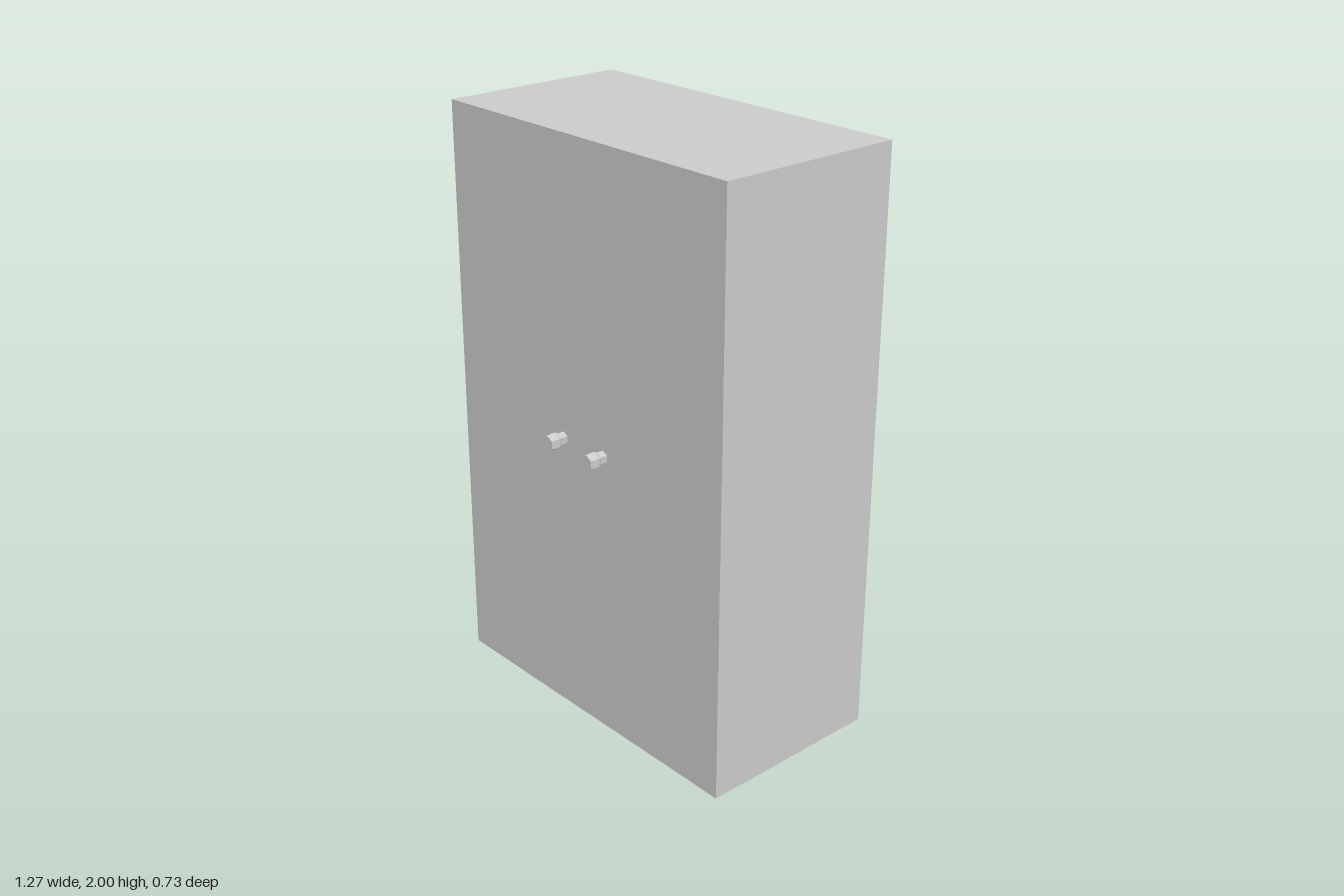
import * as THREE from 'three';

export function createModel() {
  const group = new THREE.Group();
  const material = new THREE.MeshStandardMaterial({ color: 0xcccccc, flatShading: true });
  const frontZ = 0.298, backZ = -0.365;

  // Plain cabinet body
  const body = new THREE.Mesh(new THREE.BoxGeometry(1.266, 2, frontZ - backZ), material);
  body.name = 'cabinetBody';
  body.position.set(0, 1, (frontZ + backZ) / 2);
  group.add(body);

  // Six-sided knob: narrow neck, bulging head, flat end
  const profile = [
    [0.022, 0], [0.022, 0.02], [0.029, 0.038], [0.029, 0.046], [0.0265, 0.067], [0, 0.067],
  ].map(([r, h]) => new THREE.Vector2(r, h));
  const knobGeometry = new THREE.LatheGeometry(profile, 6).rotateX(Math.PI / 2);

  for (const side of [-1, 1]) {
    const knob = new THREE.Mesh(knobGeometry, material);
    knob.name = side > 0 ? 'leftKnob' : 'rightKnob';
    knob.position.set(side * 0.0975, 1, frontZ);
    group.add(knob);
  }
  return group;
}
